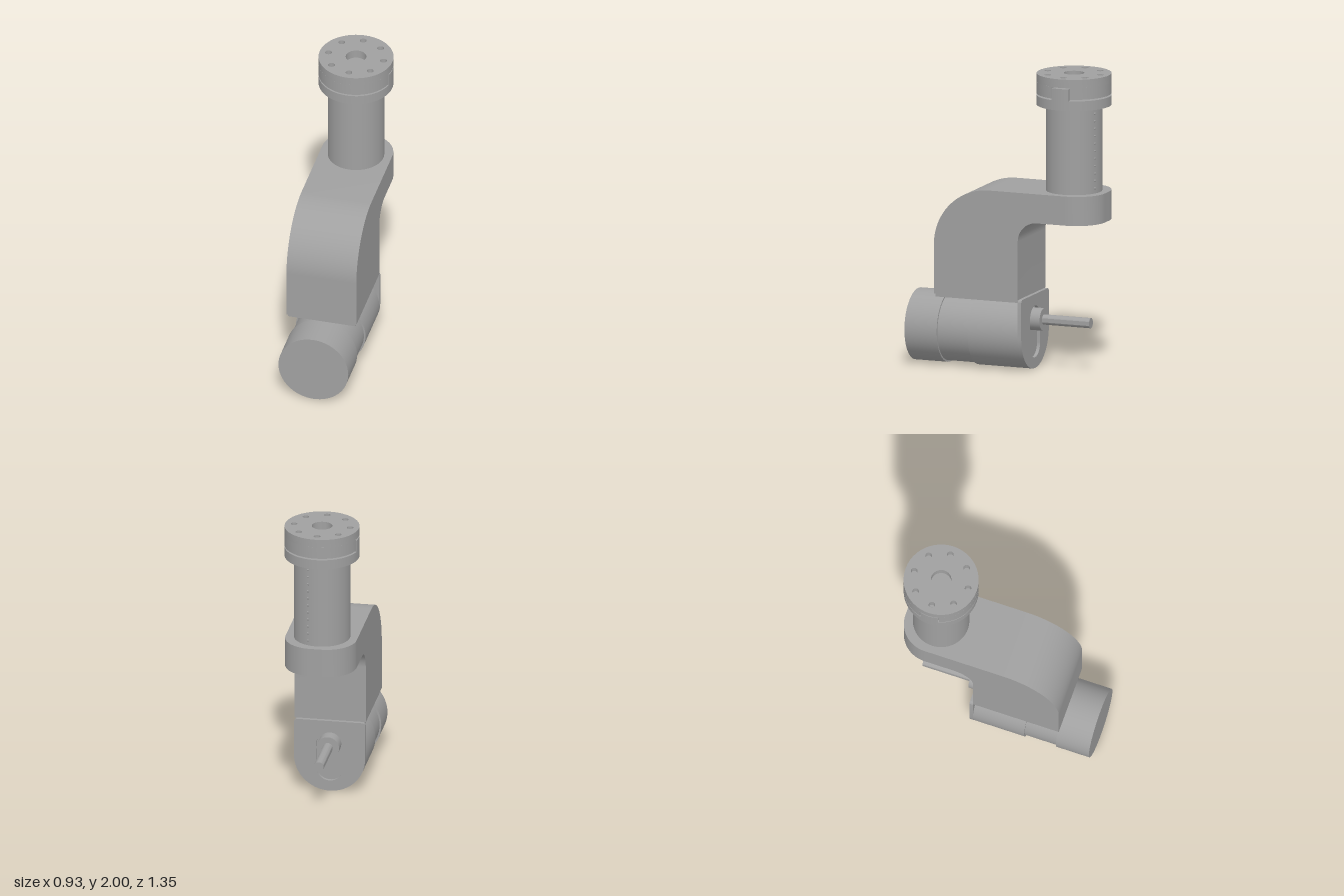
import * as THREE from 'three';
import { toCreasedNormals } from 'three/addons/utils/BufferGeometryUtils.js';

const R = 0.2375; // motor radius and arm half width

export function createModel() {
  const metal = new THREE.MeshStandardMaterial({ color: 0xa0a0a0 });
  metal.name = 'greyMetal';
  const model = new THREE.Group();
  model.name = 'steeringDrive';
  model.position.set(0.215, 0, -0.43);
  model.rotation.y = THREE.MathUtils.degToRad(-25);

  const add = (name, geo, parent = model) => {
    const mesh = new THREE.Mesh(geo, metal);
    mesh.name = name;
    parent.add(mesh);
    return mesh;
  };
  const extrude = (shape, depth) =>
    new THREE.ExtrudeGeometry(shape, { depth, bevelEnabled: false, curveSegments: 24 });
  const crease = (geo) => toCreasedNormals(geo, 0.5);
  // Plan shape (x, -z) raised from y0 to y1
  const upright = (shape, y0, y1) =>
    crease(extrude(shape, y1 - y0).rotateX(-Math.PI / 2).translate(0, y0, 0));
  // Cylinder along z
  const rod = (r, z0, z1, y) =>
    new THREE.CylinderGeometry(r, r, z1 - z0, 64).rotateX(Math.PI / 2).translate(0, y, (z0 + z1) / 2);
  const hole = (x, y, r) => new THREE.Path().absarc(x, y, r, 0, Math.PI * 2, true);
  // Ring sector in plan
  const sector = (r0, r1, a0, a1) => {
    const s = new THREE.Shape();
    s.absarc(0, 0, r1, a0, a1, false);
    s.absarc(0, 0, r0, a1, a0, true);
    s.closePath();
    return s;
  };

  // Bent arm: side profile in (z, y)
  const side = new THREE.Shape();
  side.moveTo(0.303, 0.495);
  side.lineTo(0.9, 0.495);
  side.lineTo(0.9, 0.825);
  side.absarc(0.51, 0.825, 0.39, 0, Math.PI / 2, false);
  side.lineTo(-0.035, 1.215);
  side.lineTo(-0.035, 1.02);
  side.lineTo(0.168, 1.02);
  side.absarc(0.168, 0.885, 0.135, Math.PI / 2, 0, true);
  side.closePath();
  add('bentArm', crease(extrude(side, 2 * R).rotateY(-Math.PI / 2).translate(R, 0, 0)));

  // Rounded end of the arm under the column
  const end = new THREE.Shape();
  end.moveTo(-R, 0.035);
  end.lineTo(R, 0.035);
  end.absarc(R - 0.2, 0.035, 0.2, 0, Math.PI / 2, false);
  end.absarc(0.2 - R, 0.035, 0.2, Math.PI / 2, Math.PI, false);
  end.closePath();
  add('armEnd', upright(end, 1.02, 1.215));

  // Mounting foot with screw holes along both sides
  const foot = new THREE.Shape();
  foot.moveTo(-0.23, -0.89);
  foot.lineTo(0.23, -0.89);
  foot.lineTo(0.23, -0.303);
  foot.lineTo(-0.23, -0.303);
  foot.closePath();
  for (const x of [-0.19, 0.19])
    for (let i = 0; i < 6; i++) foot.holes.push(hole(x, -0.37 - i * 0.09, 0.014));
  add('mountingFoot', upright(foot, 0.475, 0.495));

  // Motor
  add('motorFront', rod(R, 0.88, 1.11, R));
  add('motorMiddle', rod(0.226, 0.65, 0.89, R));
  add('gearbox', rod(R, 0.3, 0.66, R));

  // Slotted end plate with square shoulders and a round bottom
  const plate = new THREE.Shape();
  plate.moveTo(R, R);
  plate.lineTo(R, 0.475);
  plate.absarc(R - 0.02, 0.475, 0.02, 0, Math.PI / 2, false);
  plate.absarc(0.02 - R, 0.475, 0.02, Math.PI / 2, Math.PI, false);
  plate.lineTo(-R, R);
  plate.absarc(0, R, R, Math.PI, Math.PI * 2, false);
  const slot = new THREE.Path();
  slot.absarc(0, 0.33, 0.088, 0, Math.PI, false);
  slot.absarc(0, 0.16, 0.088, Math.PI, Math.PI * 2, false);
  slot.closePath();
  plate.holes.push(slot);
  add('endPlate', crease(extrude(plate, 0.025).translate(0, 0, 0.278)));

  // Output hub and shaft with two flats
  add('shaftHub', rod(0.075, 0.215, 0.303, 0.33));
  const section = new THREE.Shape();
  section.absarc(0, 0, 0.034, 0.4, Math.PI - 0.4, false);
  section.absarc(0, 0, 0.034, Math.PI + 0.4, Math.PI * 2 - 0.4, false);
  section.closePath();
  add('outputShaft', toCreasedNormals(extrude(section, 0.34).translate(0, 0.33, -0.12), 0.35));

  // Column with a row of small studs
  add('column', new THREE.CylinderGeometry(0.186, 0.186, 0.585, 64).translate(0, 1.5025, 0));
  const studs = new THREE.Group();
  studs.name = 'columnStuds';
  model.add(studs);
  for (let i = 0; i < 11; i++) {
    const a = THREE.MathUtils.degToRad(70);
    add('stud', new THREE.SphereGeometry(0.008, 8, 6), studs)
      .position.set(0.184 * Math.cos(a), 1.25 + i * 0.05, -0.184 * Math.sin(a));
  }

  // Coupling: lower disc with two tabs, upper disc notched to receive them
  const coupling = new THREE.Group();
  coupling.name = 'coupling';
  model.add(coupling);
  add('lowerDisc', new THREE.CylinderGeometry(0.247, 0.247, 0.065, 64).translate(0, 1.8225, 0), coupling);
  add('couplingCore', new THREE.CylinderGeometry(0.18, 0.18, 0.085, 48).translate(0, 1.8975, 0), coupling);
  for (const a of [0, Math.PI]) {
    add('couplingTab', upright(sector(0.17, 0.247, a - 0.25, a + 0.25), 1.85, 1.935), coupling);
    add('upperJaw', upright(sector(0.17, 0.247, a + 0.275, a + Math.PI - 0.275), 1.866, 1.945), coupling);
  }
  const top = new THREE.Shape();
  top.absarc(0, 0, 0.247, 0, Math.PI * 2, false);
  top.holes.push(hole(0, 0, 0.068));
  for (let i = 0; i < 8; i++) {
    const a = (i * Math.PI) / 4;
    top.holes.push(hole(0.187 * Math.cos(a), 0.187 * Math.sin(a), 0.022));
  }
  add('upperDisc', upright(top, 1.943, 2.0), coupling);

  const root = new THREE.Group();
  root.name = 'driveUnit';
  root.add(model);
  return root;
}
